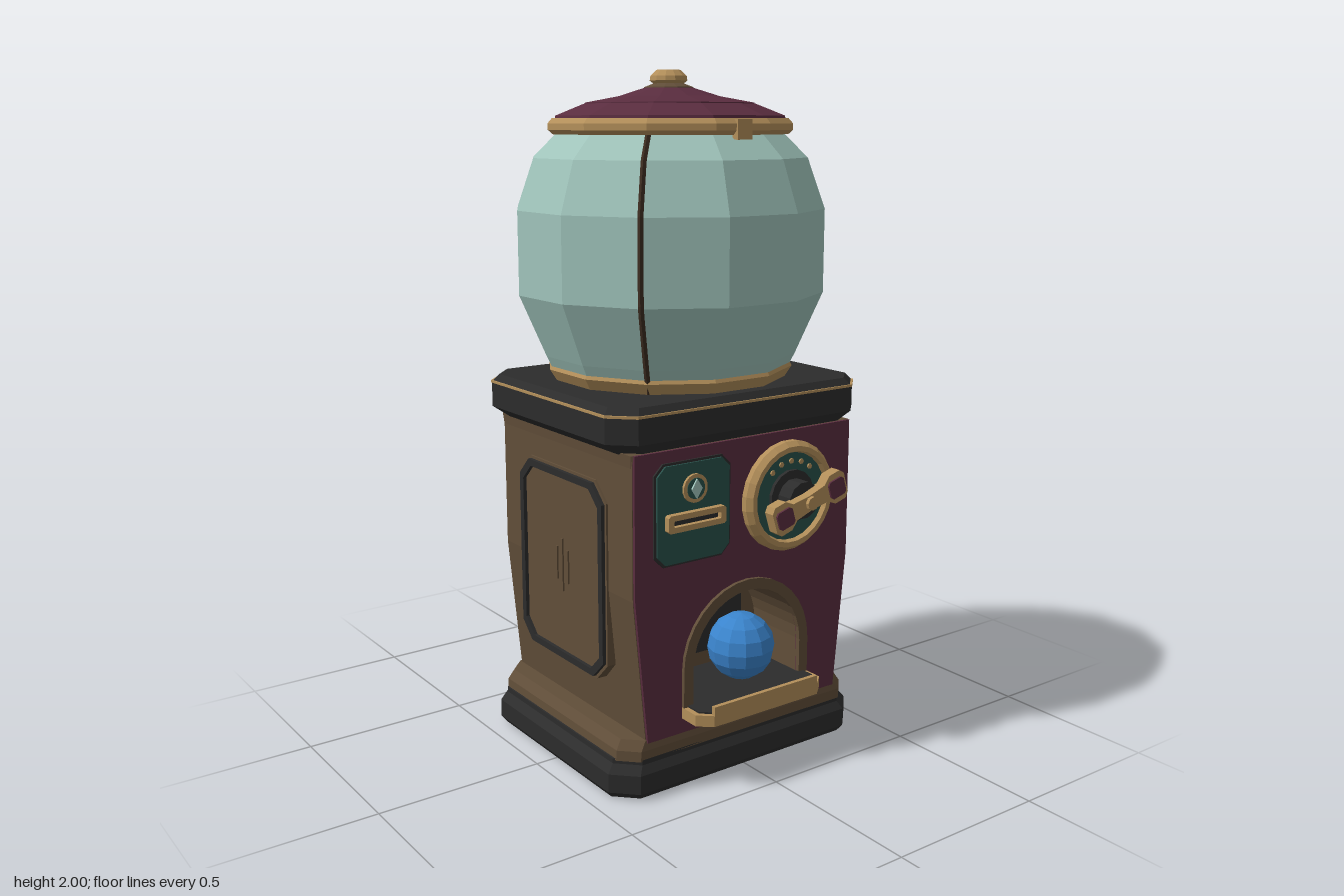
import * as THREE from 'three';

const mat = (name, color) => Object.assign(new THREE.MeshStandardMaterial({ color }), { name });

export function createModel() {
  const root = new THREE.Group();
  root.name = 'capsuleMachine';
  const M = {
    black: mat('charcoal', 0x2c2c2c), brown: mat('bronzeBrown', 0x614e39), maroon: mat('maroon', 0x5a2d3f),
    gold: mat('brass', 0xb38f5a), glass: mat('paleGlass', 0xa0c4bb), green: mat('deepGreen', 0x29504a),
    blue: mat('blue', 0x3a84cc), strap: mat('darkStrap', 0x3c2c20),
  };
  const GZ = -0.027; // centre of globe and lid

  // Adds a faceted mesh
  const add = (name, geo, material, x = 0, y = 0, z = 0, parent = root) => {
    const g = geo.index ? geo.toNonIndexed() : geo;
    g.computeVertexNormals();
    const m = new THREE.Mesh(g, material);
    m.name = name;
    m.position.set(x, y, z);
    parent.add(m);
    return m;
  };
  const box = (w, h, d) => new THREE.BoxGeometry(w, h, d);

  // Lofted chamfered-rectangle block, sections are [y, halfWidth, halfDepth, chamfer]
  const loft = (sections) => {
    const rings = sections.map(([y, w, d, c]) => [
      [c - w, d], [w - c, d], [w, d - c], [w, c - d], [w - c, -d], [c - w, -d], [-w, c - d], [-w, d - c],
    ].map(([x, z]) => [x, y, z]));
    const p = [];
    const n = rings.length - 1;
    for (let i = 0; i < 8; i++) {
      const j = (i + 1) % 8;
      for (let k = 0; k < n; k++) {
        const [a, b, c, d] = [rings[k][i], rings[k][j], rings[k + 1][j], rings[k + 1][i]];
        p.push(...a, ...b, ...c, ...a, ...c, ...d);
      }
      p.push(0, sections[n][0], 0, ...rings[n][i], ...rings[n][j]);
      p.push(0, sections[0][0], 0, ...rings[0][j], ...rings[0][i]);
    }
    return new THREE.BufferGeometry().setAttribute('position', new THREE.Float32BufferAttribute(p, 3));
  };

  // Flat outlines
  const poly = (pts) => new THREE.Shape(pts.map(([x, y]) => new THREE.Vector2(x, y)));
  const oct = (w, h, c) => poly([[c - w, -h], [w - c, -h], [w, c - h], [w, h - c], [w - c, h], [c - w, h], [-w, h - c], [-w, c - h]]);
  const arch = (r, bottom) => {
    const s = new THREE.Shape();
    s.moveTo(-r, bottom).lineTo(r, bottom).lineTo(r, 0.345);
    s.absarc(0, 0.345, r, 0, Math.PI, false);
    return s;
  };
  const cut = (shape, hole) => { shape.holes.push(hole); return shape; };
  const slab = (shape, z0, z1) =>
    new THREE.ExtrudeGeometry(shape, { depth: z1 - z0, bevelEnabled: false, curveSegments: 8 }).translate(0, 0, z0);

  // Turned parts; twelve-sided ones are given by distance to the flats
  const lathe = (pts, sides = 12, k = 1) =>
    new THREE.LatheGeometry(pts.map(([r, y]) => new THREE.Vector2(r * k, y)), sides, Math.PI / sides);
  const K = 1 / Math.cos(Math.PI / 12);
  const disc = (r, z0, z1, sides = 24) =>
    lathe([[0, z0], [r, z0], [r, z1], [0, z1]], sides).rotateX(Math.PI / 2);

  // Plinth
  add('plinth', loft([[0, 0.43, 0.358, 0.06], [0.02, 0.445, 0.373, 0.065], [0.075, 0.445, 0.373, 0.065], [0.1, 0.425, 0.36, 0.06], [0.115, 0.425, 0.36, 0.06]]), M.black, 0, 0, -0.006);
  add('plinthMoulding', loft([[0.11, 0.42, 0.358, 0.05], [0.14, 0.418, 0.358, 0.05], [0.168, 0.4, 0.352, 0.05]]), M.brown, 0, 0, -0.004);

  // Cabinet, hollowed at the front for the chute
  const outline = (o = 0) => poly([[o - 0.348, 0.16], [0.348 - o, 0.16], [0.388 - o, 0.58], [0.388 - o, 0.99], [o - 0.388, 0.99], [o - 0.388, 0.58]]);
  add('cabinetRear', slab(outline(), -0.347, 0.15), M.brown);
  add('cabinetFront', slab(cut(outline(), arch(0.2, 0.235)), 0.15, 0.345), M.brown);
  add('frontPanel', slab(cut(outline(0.002), arch(0.2, 0.235)), 0.345, 0.354), M.maroon);
  add('cabinetTrim', loft([[0.955, 0.389, 0.353, 0.01], [0.99, 0.392, 0.357, 0.01]]), M.brown, 0, 0, -0.003);

  // Chute with flap, tray and ball
  add('chuteRim', slab(cut(arch(0.229, 0.21), arch(0.197, 0.235)), 0.35, 0.365), M.brown);
  add('chuteFlap', slab(oct(0.142, 0.1, 0.03), 0.15, 0.158), M.black, -0.003, 0.388);
  add('chuteFloor', box(0.39, 0.01, 0.21), M.black, 0, 0.238, 0.255);
  const tray = poly([[-0.23, -0.355], [-0.23, -0.42], [-0.19, -0.455], [0.19, -0.455], [0.23, -0.42], [0.23, -0.355]]);
  const trayIn = poly([[-0.215, -0.355], [-0.215, -0.415], [-0.185, -0.442], [0.185, -0.442], [0.215, -0.415], [0.215, -0.355]]);
  add('trayBase', slab(tray, 0.205, 0.238).rotateX(-Math.PI / 2), M.gold);
  add('trayFloor', slab(trayIn, 0.238, 0.243).rotateX(-Math.PI / 2), M.black);
  add('trayLip', box(0.38, 0.027, 0.013), M.gold, 0, 0.25, 0.449);
  add('capsuleBall', new THREE.SphereGeometry(0.1, 12, 8), M.blue, 0.022, 0.35, 0.305);

  // Coin plate
  const coin = new THREE.Group();
  coin.name = 'coinPlate';
  coin.position.set(-0.197, 0.811, 0);
  root.add(coin);
  add('plateBorder', slab(oct(0.13, 0.146, 0.03), 0.35, 0.36), M.black, 0, 0, 0, coin);
  add('plateFace', slab(oct(0.123, 0.139, 0.027), 0.36, 0.366), M.green, 0, 0, 0, coin);
  add('slotFrame', slab(cut(oct(0.098, 0.025, 0.006), oct(0.08, 0.009, 0.002)), 0.36, 0.385), M.gold, 0, -0.02, 0, coin);
  add('slot', box(0.165, 0.02, 0.004), M.black, 0, -0.02, 0.368, coin);
  add('medallionRing', disc(0.041, 0.362, 0.374, 16), M.gold, 0, 0.067, 0, coin);
  add('medallionFace', disc(0.03, 0.374, 0.376, 16), M.green, 0, 0.067, 0, coin);
  add('medallionGem', slab(poly([[0, -0.028], [0.018, 0], [0, 0.028], [-0.018, 0]]), 0.376, 0.381), M.glass, 0, 0.067, 0, coin);

  // Turning dial
  const dial = new THREE.Group();
  dial.name = 'dial';
  dial.position.set(0.143, 0.8, 0);
  root.add(dial);
  add('dialRing', lathe([[0.13, 0.35], [0.163, 0.35], [0.163, 0.372], [0.15, 0.388], [0.135, 0.388], [0.128, 0.37]], 24).rotateX(Math.PI / 2), M.gold, 0, 0, 0, dial);
  add('dialFace', disc(0.134, 0.352, 0.374), M.green, 0, 0, 0, dial);
  add('dialBoss', disc(0.08, 0.37, 0.385, 16), M.black, 0, 0, 0, dial);
  add('dialStem', disc(0.055, 0.38, 0.435, 12), M.black, 0, 0, 0, dial);
  for (let i = -2; i <= 2; i++) {
    const a = i * 0.36;
    add('dialMark', disc(0.008, 0.373, 0.379, 6), M.gold, Math.sin(a) * 0.105, Math.cos(a) * 0.105, 0, dial);
  }
  const handle = new THREE.Group();
  handle.name = 'dialHandle';
  handle.rotation.z = 0.3;
  dial.add(handle);
  const bow = [[0, -0.022], [0.06, -0.026], [0.085, -0.045], [0.125, -0.045], [0.138, -0.03]];
  const half = [...bow, ...bow.slice(1).reverse().map(([x, y]) => [x, -y])];
  add('handleBar', slab(poly([...half, ...half.map(([x, y]) => [-x, -y])]), 0.43, 0.464), M.gold, 0, 0, 0, handle);
  for (const s of [-1, 1]) add('handleInlay', slab(oct(0.029, 0.027, 0.008), 0.464, 0.47), M.maroon, s * 0.1, 0, 0, handle);
  add('handleBolt', disc(0.02, 0.46, 0.475, 8), M.gold, 0, 0, 0, handle);

  // Side panels with vent slits
  for (const s of [-1, 1]) {
    const side = new THREE.Group();
    side.name = s > 0 ? 'leftPanel' : 'rightPanel';
    side.rotation.y = s * Math.PI / 2;
    side.position.set(0, 0.595, -0.006);
    root.add(side);
    add('panelBacking', slab(oct(0.232, 0.293, 0.056), 0.345, 0.394), M.brown, 0, 0, 0, side);
    add('panelFrame', slab(cut(oct(0.224, 0.285, 0.053), oct(0.204, 0.265, 0.046)), 0.39, 0.405), M.black, 0, 0, 0, side);
    for (const i of [-1, 0, 1]) add('ventSlit', box(0.008, i ? 0.1 : 0.16, 0.006), M.brown, i * 0.03, 0, 0.396, side);
  }

  // Service door on the back
  add('serviceDoor', slab(oct(0.285, 0.295, 0.055), -0.36, -0.34), M.black, 0, 0.605);
  add('doorHandle', box(0.11, 0.022, 0.02), M.gold, 0, 0.748, -0.386);
  for (const s of [-1, 1]) add('doorHandlePost', box(0.012, 0.014, 0.03), M.gold, s * 0.042, 0.748, -0.368);

  // Top slab
  add('topSlab', loft([[0.985, 0.395, 0.345, 0.05], [1.02, 0.444, 0.373, 0.065], [1.095, 0.444, 0.373, 0.065], [1.118, 0.425, 0.355, 0.06]]), M.black, 0, 0, -0.008);
  add('slabPiping', loft([[1.092, 0.446, 0.375, 0.065], [1.099, 0.446, 0.375, 0.065]]), M.gold, 0, 0, -0.008);

  // Globe with seat ring and straps
  const profile = [[0.33, 1.115], [0.365, 1.19], [0.44, 1.37], [0.44, 1.61], [0.39, 1.755], [0.315, 1.83]];
  add('globe', lathe(profile, 12, K), M.glass, 0, 0, GZ);
  add('seatRing', lathe([[0.32, 1.115], [0.335, 1.115], [0.356, 1.15], [0.35, 1.162], [0.34, 1.162]], 12, K), M.gold, 0, 0, GZ);
  for (let i = 0; i < 3; i++) {
    const path = new THREE.CurvePath();
    const pts = profile.map(([r, y]) => new THREE.Vector3(0, y, r * K));
    for (let j = 1; j < pts.length; j++) path.add(new THREE.LineCurve3(pts[j - 1], pts[j]));
    const strap = add('globeStrap', new THREE.TubeGeometry(path, 30, 0.008, 4), M.strap, 0, 0, GZ);
    strap.rotation.y = -Math.PI / 4 + i * Math.PI * 2 / 3;
  }

  // Lid, clasp and finial
  add('lidRing', lathe([[0.3, 1.82], [0.335, 1.82], [0.348, 1.832], [0.348, 1.85], [0.335, 1.865], [0.3, 1.865]], 12, K), M.gold, 0, 0, GZ);
  add('lidBrim', lathe([[0.327, 1.86], [0.325, 1.872], [0.244, 1.905]], 12, K), M.maroon, 0, 0, GZ);
  add('lidGroove', lathe([[0.246, 1.904], [0.239, 1.905]], 12, K), M.black, 0, 0, GZ);
  add('lidCrown', lathe([[0.241, 1.895], [0.24, 1.908], [0.145, 1.926], [0.06, 1.953], [0, 1.953]], 12, K), M.maroon, 0, 0, GZ);
  add('lidClasp', box(0.05, 0.055, 0.022), M.gold, 0, 1.835, 0.315);
  add('finialCollar', lathe([[0.074, 1.94], [0.072, 1.952], [0.045, 1.962], [0, 1.962]], 12), M.brown, 0, 0, GZ);
  add('finial', lathe([[0.035, 1.955], [0.055, 1.97], [0.053, 1.983], [0.035, 2], [0, 2]], 12), M.gold, 0, 0, GZ);
  return root;
}
